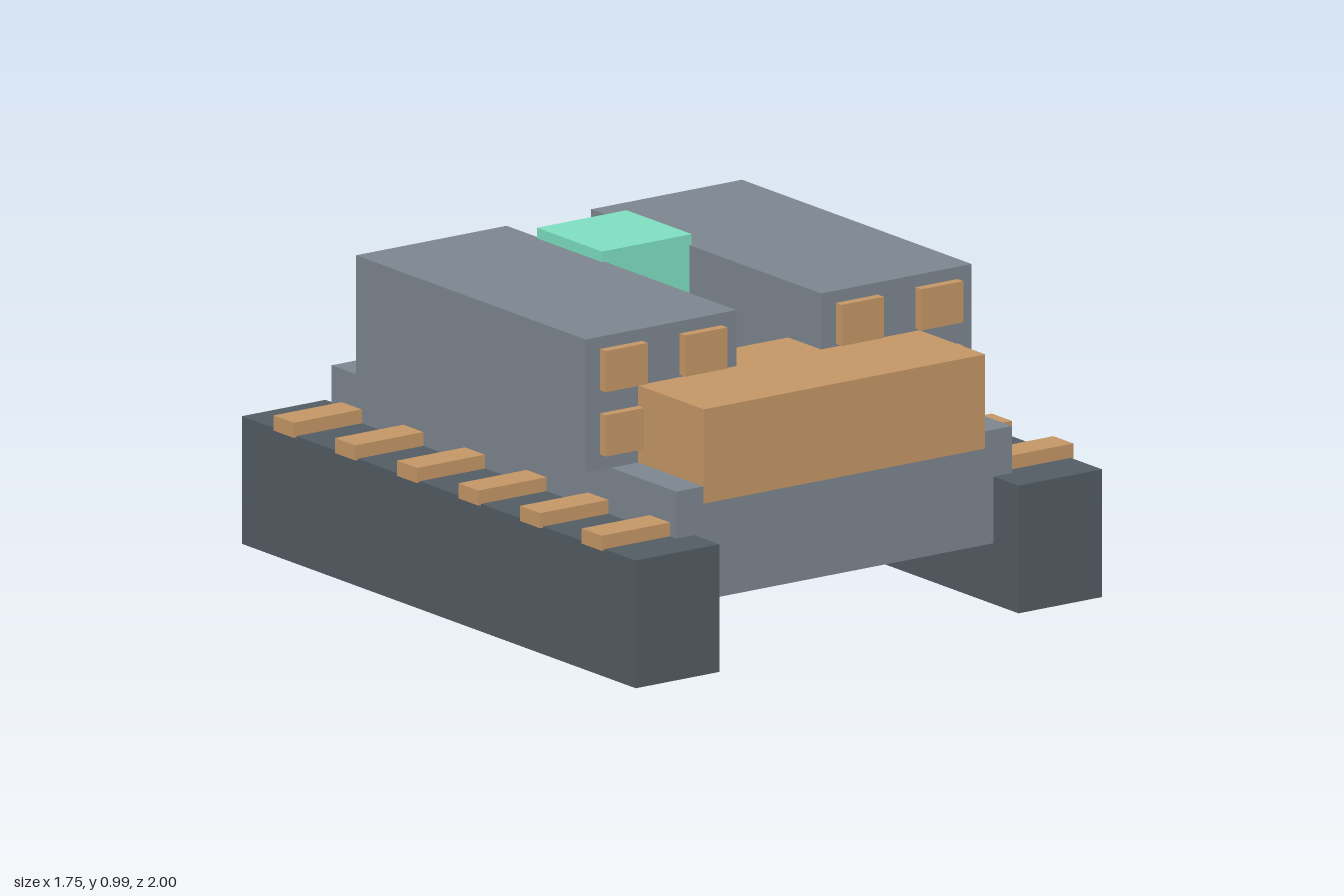
import * as THREE from 'three';

const paint = (color) => new THREE.MeshStandardMaterial({ color, flatShading: true });

export function createModel() {
  const model = new THREE.Group();
  const hullGrey = paint(0x7c858e);
  const trackGrey = paint(0x535c63);
  const tan = paint(0xc49666);
  const green = paint(0x7ddec0);

  // Box given by its extents along x, y and z
  function block(name, material, [x0, x1], [y0, y1], [z0, z1]) {
    const mesh = new THREE.Mesh(new THREE.BoxGeometry(x1 - x0, y1 - y0, z1 - z0), material);
    mesh.position.set((x0 + x1) / 2, (y0 + y1) / 2, (z0 + z1) / 2);
    mesh.name = name;
    model.add(mesh);
  }

  // The same box on both sides
  function pair(name, material, [x0, x1], y, z) {
    block('left' + name, material, [x0, x1], y, z);
    block('right' + name, material, [-x1, -x0], y, z);
  }

  // Body
  block('hull', hullGrey, [-0.622, 0.622], [0.19, 0.543], [-0.877, 0.874]);
  block('frontArmour', tan, [-0.522, 0.522], [0.49, 0.783], [0.375, 0.876]);
  block('cockpit', green, [-0.166, 0.166], [0.77, 0.99], [-0.458, -0.127]);

  // Tracks with a row of tread cleats on top
  pair('Track', trackGrey, [0.555, 0.865], [0, 0.397], [-1, 1]);
  for (let i = 0; i < 6; i++) {
    const z = -0.775 + i * 0.313;
    pair('TreadCleat' + (i + 1), tan, [0.58, 0.875], [0.393, 0.44], [z - 0.051, z + 0.051]);
  }

  // Launcher pods with two rows of missile hatches on the front
  pair('LauncherPod', hullGrey, [0.157, 0.716], [0.543, 0.957], [-0.625, 0.542]);
  for (const x of [0.29, 0.585]) {
    for (const y of [0.655, 0.855]) {
      pair('MissileHatch', tan, [x - 0.078, x + 0.078], [y - 0.064, y + 0.064], [0.5, 0.572]);
    }
  }

  return model;
}
